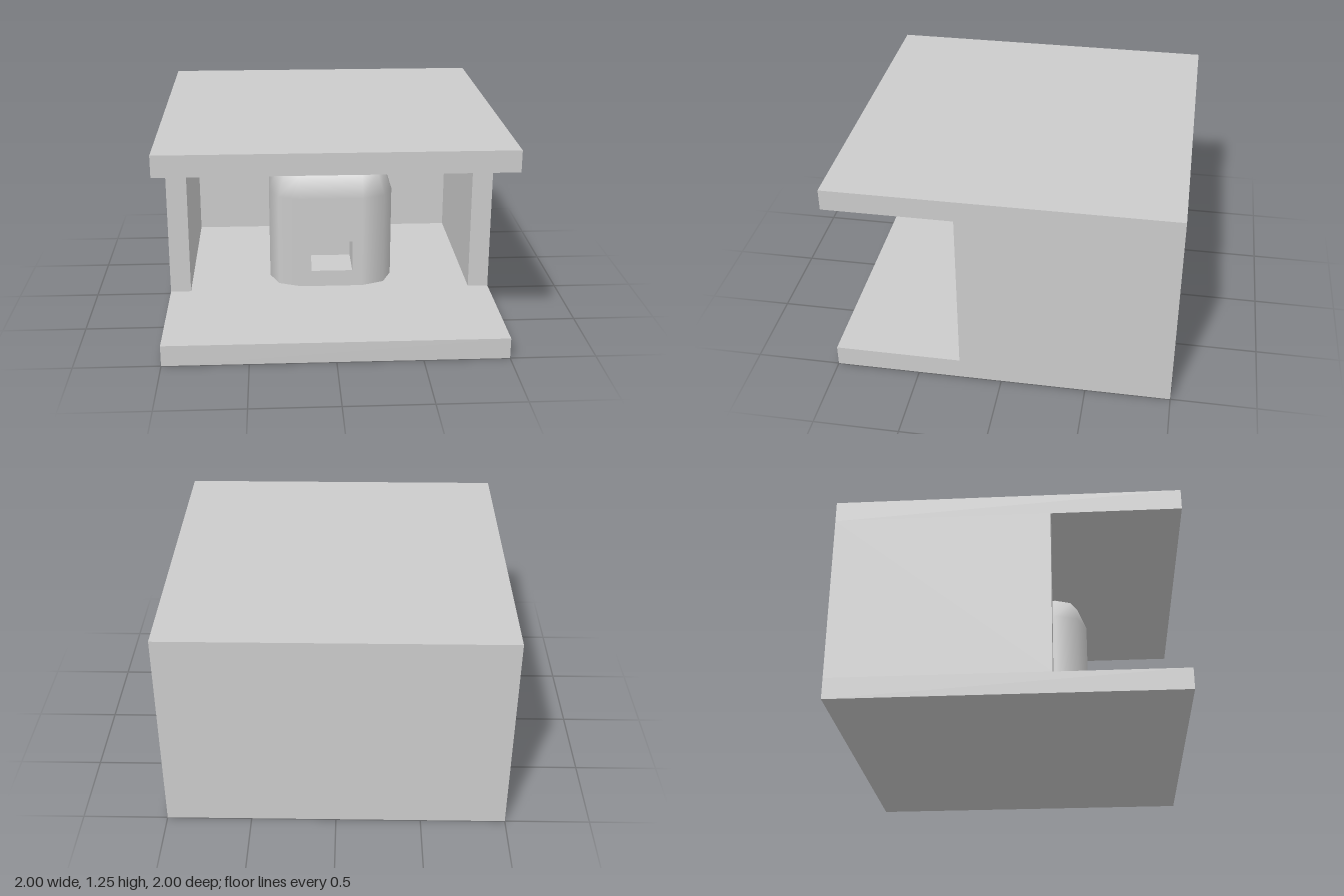
import * as THREE from 'three';

const material = new THREE.MeshStandardMaterial({ color: 0xcccccc });
const HALF = 0.375, R = 0.1875, FLAT = HALF - R; // inner block: half width, edge radius, flat half width
const BOTTOM = 0.2275, CENTRE_Z = 0.0625;

function add(parent, name, geometry, x = 0, y = 0, z = 0) {
  const mesh = new THREE.Mesh(geometry, material);
  mesh.name = name;
  mesh.position.set(x, y, z);
  parent.add(mesh);
  return mesh;
}

// Directions around the block, three per rounded corner
function ringDirections() {
  const list = [];
  for (let q = 0; q < 4; q++) {
    const mid = (q + 0.5) * Math.PI / 2;
    for (let k = 0; k < 3; k++) {
      const a = (q + k / 2) * Math.PI / 2;
      list.push({ cx: Math.sign(Math.cos(mid)) * FLAT, cz: Math.sign(Math.sin(mid)) * FLAT, dx: Math.cos(a), dz: Math.sin(a) });
    }
  }
  return list;
}

// Sides and rounded top edges, leaving out the flat front panel
function roundedSides(dirs) {
  const levels = [[0, 0], [2 * HALF - R, 0], [2 * HALF - R, Math.PI / 4], [2 * HALF - R, Math.PI / 2]];
  const positions = [], normals = [], index = [], n = dirs.length;
  for (const [y, tilt] of levels) {
    const c = Math.cos(tilt), s = Math.sin(tilt);
    for (const d of dirs) {
      positions.push(d.cx + d.dx * R * c, y + R * s, d.cz + d.dz * R * c);
      normals.push(d.dx * c, s, d.dz * c);
    }
  }
  for (let i = 0; i < levels.length - 1; i++) {
    for (let j = 0; j < n; j++) {
      if (i === 0 && j === 2) continue;
      const a = i * n + j, b = i * n + (j + 1) % n;
      index.push(a, a + n, b, b, a + n, b + n);
    }
  }
  const g = new THREE.BufferGeometry();
  g.setAttribute('position', new THREE.Float32BufferAttribute(positions, 3));
  g.setAttribute('normal', new THREE.Float32BufferAttribute(normals, 3));
  g.setIndex(index);
  return g;
}

const rectangle = (Type, x, y0, y1) => new Type([
  new THREE.Vector2(-x, y0), new THREE.Vector2(x, y0), new THREE.Vector2(x, y1), new THREE.Vector2(-x, y1),
]);

// Box turned inside out, open at the front
function pocketGeometry(w, h, d) {
  const g = new THREE.BoxGeometry(w, h, d);
  const idx = Array.from(g.index.array);
  idx.splice(24, 6);
  g.setIndex(idx);
  g.scale(-1, 1, 1);
  g.computeVertexNormals();
  return g;
}

export function createModel() {
  const model = new THREE.Group();
  model.name = 'openCabinet';

  // Floor and roof slabs
  add(model, 'floor', new THREE.BoxGeometry(2, 0.125, 2), 0, 0.0625, 0);
  add(model, 'roof', new THREE.BoxGeometry(2, 0.125, 2), 0, 1.1875, 0);

  // U-shaped wall: back and two short sides
  const u = new THREE.Shape([
    [-1, -0.25], [-0.875, -0.25], [-0.875, 0.875], [0.875, 0.875],
    [0.875, -0.25], [1, -0.25], [1, 1], [-1, 1],
  ].map(([x, y]) => new THREE.Vector2(x, y)));
  const wall = new THREE.ExtrudeGeometry(u, { depth: 1, bevelEnabled: false });
  wall.rotateX(-Math.PI / 2);
  add(model, 'walls', wall, 0, 0.125, 0);

  // Floating block with rounded upper edges
  const block = new THREE.Group();
  block.name = 'innerBlock';
  block.position.set(0, BOTTOM, CENTRE_Z);
  model.add(block);

  const dirs = ringDirections();
  add(block, 'blockSides', roundedSides(dirs));
  add(block, 'blockTop', new THREE.PlaneGeometry(2 * FLAT, 2 * FLAT).rotateX(-Math.PI / 2), 0, 2 * HALF, 0);
  const base = new THREE.Shape(dirs.map(d => new THREE.Vector2(d.cx + d.dx * R, d.cz + d.dz * R)));
  add(block, 'blockBase', new THREE.ShapeGeometry(base).rotateX(Math.PI / 2));

  // Front panel with a rectangular pocket
  const y0 = 0.328 - BOTTOM, y1 = 0.5155 - BOTTOM, depth = 0.25;
  const panel = rectangle(THREE.Shape, FLAT, 0, 2 * HALF - R);
  panel.holes.push(rectangle(THREE.Path, 0.125, y0, y1));
  add(block, 'blockFront', new THREE.ShapeGeometry(panel), 0, 0, HALF);
  add(block, 'pocket', pocketGeometry(0.25, y1 - y0, depth), 0, (y0 + y1) / 2, HALF - depth / 2);

  return model;
}
